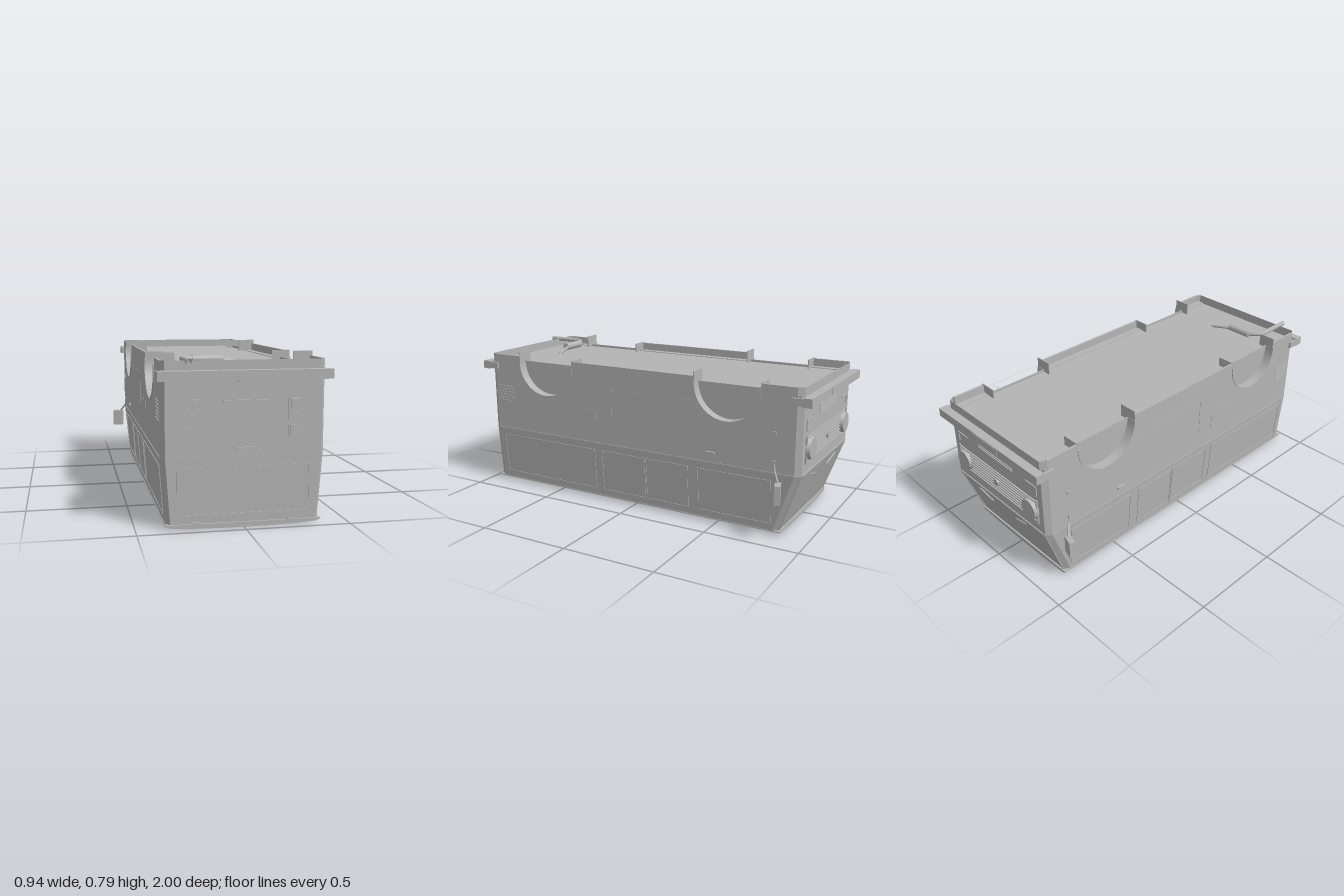
import * as THREE from 'three';

// Van body shell lying on its roof: roof at y = 0, open underfloor at the top
export function createModel() {
  const root = new THREE.Group();
  root.name = 'vanBody';
  const grey = new THREE.MeshStandardMaterial({ color: 0xb4b4b4, side: THREE.DoubleSide, flatShading: true });
  grey.name = 'bodyGrey';

  const add = (name, geo, parent = root) => {
    const m = new THREE.Mesh(geo, grey);
    m.name = name;
    parent.add(m);
    return m;
  };
  const box = (name, w, h, d, x, y, z, parent = root) => {
    const m = add(name, new THREE.BoxGeometry(w, h, d), parent);
    m.position.set(x, y, z);
    return m;
  };
  const tube = (name, pts, r) => {
    const path = new THREE.CurvePath();
    const v = pts.map(p => new THREE.Vector3(...p));
    for (let i = 1; i < v.length; i++) path.add(new THREE.LineCurve3(v[i - 1], v[i]));
    return add(name, new THREE.TubeGeometry(path, 24, r, 8));
  };
  // Shape drawn in (z, y), extruded inwards along x from the plane x0
  const sideExtrude = (name, shape, depth, x0) => {
    const g = new THREE.ExtrudeGeometry(shape, { depth, bevelEnabled: false, curveSegments: 24 });
    g.rotateY(-Math.PI / 2);
    g.translate(x0, 0, 0);
    return add(name, g);
  };

  // Chamfered rectangular cross-sections; edges 0 and 4 are the long sides
  const ring = (y, hx, zb, zf) => {
    const i = hx - 0.02, c = 0.03;
    return [[hx, y, zb - c], [hx, y, zf + c], [i, y, zf], [-i, y, zf],
      [-hx, y, zf + c], [-hx, y, zb - c], [-i, y, zb], [i, y, zb]];
  };
  const loft = (name, lo, hi, edges) => {
    const p = [];
    for (const e of edges) {
      const f = (e + 1) % 8;
      p.push(...lo[e], ...lo[f], ...hi[f], ...lo[e], ...hi[f], ...hi[e]);
    }
    const g = new THREE.BufferGeometry();
    g.setAttribute('position', new THREE.Float32BufferAttribute(p, 3));
    g.computeVertexNormals();
    return add(name, g);
  };
  const roofRing = ring(0.02, 0.363, 0.947, -0.84);
  const beltRing = ring(0.33, 0.385, 0.95, -0.95);
  const sillRing = ring(0.77, 0.385, 0.95, -0.95);
  loft('cabinShell', roofRing, beltRing, [0, 1, 2, 3, 4, 5, 6, 7]);
  loft('endPanels', beltRing, sillRing, [1, 2, 3, 5, 6, 7]);

  // Crowned roof with a gutter rim
  const crown = new THREE.Shape();
  [[-0.366, 0.024], [-0.366, 0.018], [-0.345, 0.01], [-0.22, 0.003], [-0.1, 0], [0.1, 0],
    [0.22, 0.003], [0.345, 0.01], [0.366, 0.018], [0.366, 0.024]]
    .forEach(([x, y], i) => (i ? crown.lineTo(x, y) : crown.moveTo(x, y)));
  const roofGeo = new THREE.ExtrudeGeometry(crown, { depth: 1.805, bevelEnabled: false });
  roofGeo.translate(0, 0, -0.85);
  add('roof', roofGeo);

  // Floor pan
  box('floor', 0.67, 0.018, 1.88, 0, 0.716, 0);

  // Side walls with wheel cutouts
  const arches = [0.56, -0.556], R = 0.183, AY = 0.738;
  const wall = new THREE.Shape();
  wall.moveTo(-0.92, 0.33);
  wall.lineTo(0.92, 0.33);
  wall.lineTo(0.92, 0.77);
  for (const c of arches) {
    wall.lineTo(c + R, 0.77);
    wall.lineTo(c + R, AY);
    wall.absarc(c, AY, R, 0, Math.PI, true);
    wall.lineTo(c - R, 0.77);
  }
  wall.lineTo(-0.92, 0.77);
  const liner = c => {
    const s = new THREE.Shape();
    s.absarc(c, AY, R + 0.003, 0, Math.PI, true);
    s.lineTo(c - R + 0.005, AY);
    s.absarc(c, AY, R - 0.005, Math.PI, 0, false);
    return s;
  };
  const wellSide = c => {
    const s = new THREE.Shape();
    s.absarc(c, AY, R, 0, Math.PI, true);
    return s;
  };

  for (const s of [1, -1]) {
    const inward = (x, d) => (s > 0 ? x : -x + d);
    sideExtrude('sideWall', wall, 0.012, inward(0.385, 0.012));
    for (const c of arches) {
      sideExtrude('wheelArch', liner(c), 0.056, inward(0.39, 0.056));
      sideExtrude('wheelWellSide', wellSide(c), 0.005, inward(0.338, 0.005));
    }
    // Floor edges between the arches, and the upright flanges beside them
    for (const [z, d] of [[0, 0.75], [0.842, 0.2], [-0.838, 0.2]])
      box('floorEdge', 0.05, 0.025, d, s * 0.357, 0.716, z);
    for (const [z, top] of [[0.743, 0.793], [0.377, 0.775], [-0.373, 0.793], [-0.739, 0.775]])
      box('archFlange', 0.095, top - 0.715, 0.006, s * 0.337, (top + 0.715) / 2, z);

    // Belt line, door seams and hardware
    box('beltLine', 0.004, 0.006, 1.84, s * 0.386, 0.333, 0);
    for (const y of [0.39, 0.535]) box('doorHinge', 0.012, 0.018, 0.014, s * 0.387, y, -0.815);
    box('doorHandle', 0.014, 0.01, 0.05, s * 0.389, 0.387, -0.475);
    box('doorSeam', 0.002, 0.004, 0.5, s * 0.3855, 0.645, -0.13);
    box('doorSeam', 0.002, 0.24, 0.004, s * 0.3855, 0.525, 0.12);
    box('fillerFlap', 0.003, 0.11, 0.15, s * 0.385, 0.465, 0.295);
    for (let i = 0; i < 6; i++) box('sideVent', 0.006, 0.006, 0.11, s * 0.386, 0.5 + i * 0.017, 0.85);

    // Side window frames following the lean of the cabin
    const win = new THREE.Group();
    win.name = 'sideWindows';
    win.position.set(s * 0.3745, 0.175, 0);
    win.rotation.z = -s * 0.072;
    root.add(win);
    for (const [a, b] of [[0.88, 0.24], [0.19, -0.08], [-0.09, -0.34], [-0.4, -0.8]]) {
      for (const y of [-0.115, 0.115]) box('windowRail', 0.005, 0.005, a - b, 0, y, (a + b) / 2, win);
      for (const z of [a, b]) box('windowPost', 0.005, 0.23, 0.005, 0, 0, z, win);
    }

    // Door mirror
    const mirror = box('mirror', 0.062, 0.097, 0.03, s * 0.435, 0.25, -0.858);
    mirror.rotation.y = s * 0.3;
    tube('mirrorArm', [[s * 0.383, 0.385, -0.815], [s * 0.388, 0.345, -0.822], [s * 0.425, 0.29, -0.858]], 0.005);

    // Headlight, indicator and wiper
    const lamp = add('headlight', new THREE.CylinderGeometry(0.052, 0.06, 0.022, 24));
    lamp.rotation.x = -Math.PI / 2;
    lamp.position.set(s * 0.275, 0.455, -0.962);
    box('indicator', 0.085, 0.01, 0.008, s * 0.285, 0.6, -0.951);
    box('indicator', 0.01, 0.05, 0.008, s * 0.323, 0.575, -0.951);
    tube('wiper', [[s * 0.2, 0.3, -0.945], [s * 0.1, 0.265, -0.933]], 0.004);

    // Tail lamp cluster and tailgate hinge
    box('tailLamp', 0.085, 0.18, 0.008, s * 0.2475, 0.505, 0.952);
    for (const y of [0.445, 0.505, 0.565]) box('tailLens', 0.065, 0.048, 0.006, s * 0.2475, y, 0.957);
    box('tailgateHinge', 0.038, 0.008, 0.014, s * 0.225, 0.027, 0.95);
    box('tailWindowPost', 0.005, 0.22, 0.004, s * 0.31, 0.175, 0.95);
  }

  // Bumpers with short returns around the corners
  for (const e of [1, -1]) {
    box('bumper', 0.806, 0.045, 0.045, 0, 0.704, e * 0.975);
    for (const s of [1, -1]) box('bumperReturn', 0.012, 0.036, 0.06, s * 0.397, 0.704, e * 0.925);
  }
  box('bumperPlate', 0.2, 0.035, 0.006, 0, 0.704, -0.997);

  // Tailgate details
  for (const y of [0.065, 0.285]) box('tailWindowRail', 0.62, 0.005, 0.004, 0, y, 0.95);
  box('tailgateSeam', 0.7, 0.004, 0.003, 0, 0.335, 0.95);
  box('tailgateHandle', 0.08, 0.01, 0.014, 0, 0.369, 0.955);
  box('plateRecess', 0.22, 0.064, 0.005, 0, 0.557, 0.951);
  box('plateLamp', 0.2, 0.01, 0.012, 0, 0.585, 0.955);
  box('tailgateLatch', 0.064, 0.01, 0.014, 0, 0.676, 0.955);

  // Nose grille, upper vent and windscreen frame
  for (let i = 0; i < 8; i++) box('grilleSlat', 0.64, 0.007, 0.01, 0, 0.395 + i * 0.017, -0.953);
  for (const x of [-0.325, 0.325]) box('grilleEnd', 0.008, 0.14, 0.01, x, 0.455, -0.953);
  const cap = add('grilleCap', new THREE.CylinderGeometry(0.02, 0.02, 0.014, 16));
  cap.rotation.x = Math.PI / 2;
  cap.position.set(0, 0.455, -0.958);
  for (let i = 0; i < 4; i++) box('noseVent', 0.28, 0.007, 0.008, 0, 0.595 + i * 0.014, -0.952);
  box('windscreenSill', 0.72, 0.007, 0.008, 0, 0.333, -0.951);
  for (const s of [1, -1])
    tube('windscreenPost', [[s * 0.343, 0.03, -0.844], [s * 0.362, 0.325, -0.948]], 0.004);

  // Exhaust pipe and silencer
  tube('tailpipe', [[-0.263, 0.768, 1.0], [-0.263, 0.768, 0.8], [-0.25, 0.766, 0.775], [-0.2, 0.762, 0.747]], 0.013);
  const can = add('silencer', new THREE.CylinderGeometry(0.021, 0.021, 0.145, 16));
  can.rotation.z = Math.PI / 2;
  can.position.set(-0.133, 0.759, 0.747);
  tube('exhaustPipe', [[-0.065, 0.757, 0.735], [0.05, 0.74, 0.708]], 0.009);
  return root;
}
